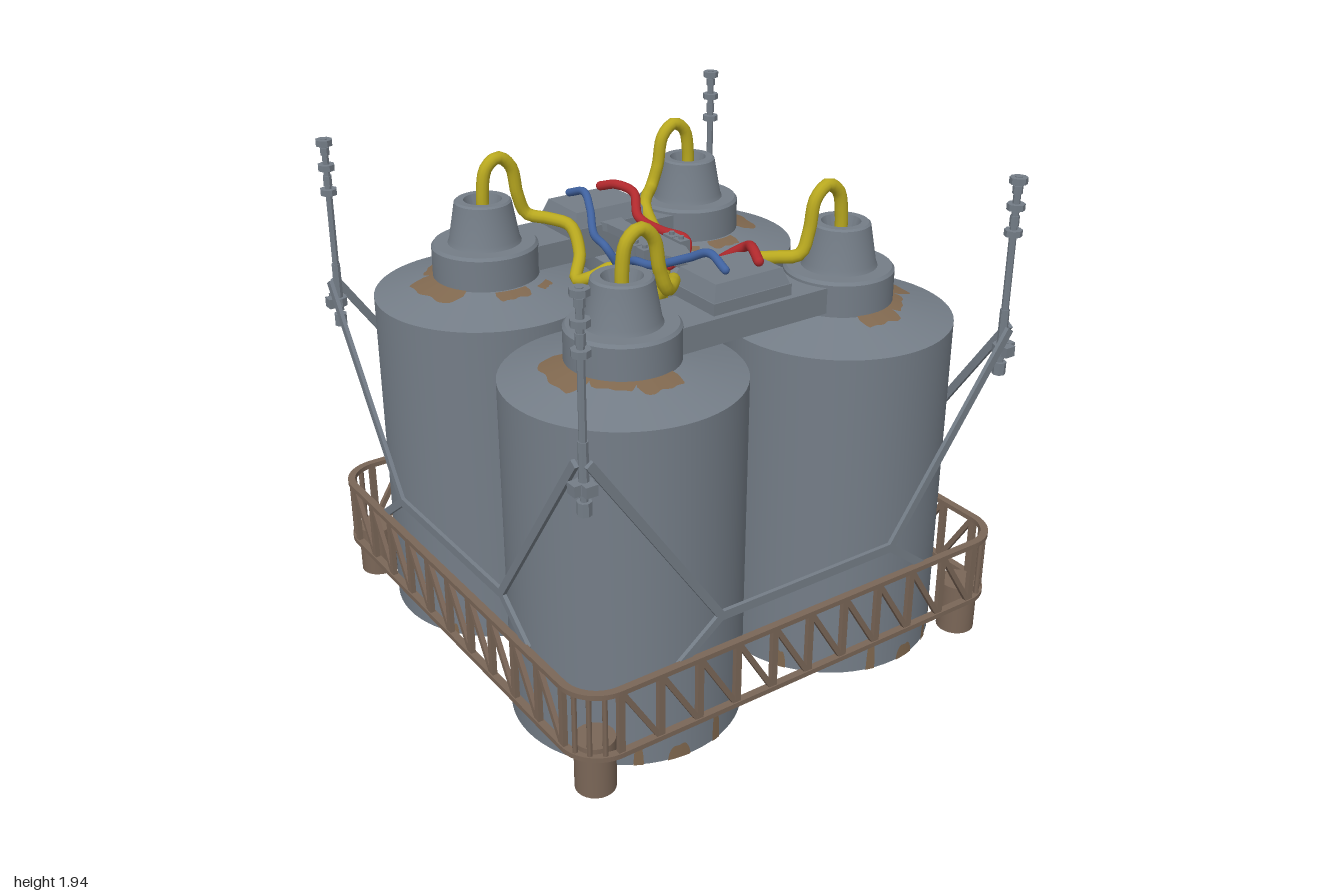
import * as THREE from 'three';
import { toCreasedNormals } from 'three/addons/utils/BufferGeometryUtils.js';

const material = (name, color, side = THREE.FrontSide) =>
  Object.assign(new THREE.MeshStandardMaterial({ color, side }), { name });
const steel = material('steel grey', 0x747d87, THREE.DoubleSide);
const brown = material('weathered brown', 0x7a6657, THREE.DoubleSide);
const rust = material('rust', 0x80684f, THREE.DoubleSide);
const yellow = material('yellow hose', 0xb8a81f);
const blue = material('blue cable', 0x40629f);
const red = material('red cable', 0xb0292d);
const V = (x, y, z) => new THREE.Vector3(x, y, z);

function add(parent, name, geometry, mat, x = 0, y = 0, z = 0) {
  const mesh = new THREE.Mesh(geometry, mat);
  mesh.name = name;
  mesh.position.set(x, y, z);
  parent.add(mesh);
  return mesh;
}

function group(parent, name) {
  const g = new THREE.Group();
  g.name = name;
  parent.add(g);
  return g;
}

// Flat bar between two points of an upright plane
function bar(parent, name, mat, [x1, y1], [x2, y2], z, width, depth) {
  const length = Math.hypot(x2 - x1, y2 - y1);
  const mesh = add(parent, name, new THREE.BoxGeometry(length, width, depth), mat,
    (x1 + x2) / 2, (y1 + y2) / 2, z);
  mesh.rotation.z = Math.atan2(y2 - y1, x2 - x1);
}

// Hose through points, with rounded ends
function hose(parent, name, mat, points, radius) {
  const path = new THREE.CatmullRomCurve3(points);
  add(parent, name, new THREE.TubeGeometry(path, 110, radius, 12), mat);
  for (const p of [points[0], points[points.length - 1]])
    add(parent, name + 'End', new THREE.SphereGeometry(radius, 12, 8), mat, p.x, p.y, p.z);
}

// Rust strip around a tank; edge(t) gives [radius, y] of the lower and upper border
function rustPatch(parent, sx, sz, from, to, edge, steps = 16) {
  const pos = [], idx = [];
  for (let i = 0; i <= steps; i++) {
    const a = THREE.MathUtils.degToRad(from + (to - from) * i / steps);
    for (const [r, y] of edge(i / steps)) pos.push(sx * r * Math.sin(a), y, sz * r * Math.cos(a));
    const k = i * 2;
    if (i < steps) idx.push(...(sx * sz > 0 ? [k, k + 2, k + 1, k + 1, k + 2, k + 3]
      : [k, k + 1, k + 2, k + 1, k + 3, k + 2]));
  }
  const g = new THREE.BufferGeometry();
  g.setAttribute('position', new THREE.Float32BufferAttribute(pos, 3));
  g.setIndex(idx);
  g.computeVertexNormals();
  add(parent, 'rustPatch', g, rust);
}

const onDome = r => [r, 1.43 - (r - 0.21) * 0.28];

function buildTank(parent, geometry, sx, sz) {
  const tank = group(parent, 'tank');
  tank.position.set(sx * 0.49, 0, sz * 0.49);
  add(tank, 'tankBody', geometry, steel);
  // Rust around the collar: [from, to, inner radius, outer radius at start, at end]
  for (const [from, to, r0, r1, r2] of [[-20, 22, 0.205, 0.28, 0.29], [22, 64, 0.205, 0.26, 0.25],
    [64, 130, 0.205, 0.31, 0.3], [160, 194, 0.22, 0.28, 0.28], [204, 222, 0.245, 0.28, 0.28]])
    rustPatch(tank, sx, sz, from, to, t => {
      const wave = 0.9 + 0.1 * Math.sin(t * 14) * Math.cos(t * 5);
      const fade = Math.min(1, 0.45 + 5 * t, 0.45 + 5 * (1 - t));
      return [onDome(r0 + (r1 + (r2 - r1) * t - r0) * wave * fade), onDome(r0)];
    }, 32);
  // Rust streaks rising from the foot: [angle, width in degrees, height]
  for (const [a, w, h] of [[52, 7, 0.07], [28, 5, 0.1], [8, 12, 0.07], [-14, 5, 0.17], [-61, 6, 0.09],
    [125, 5, 0.06], [205, 6, 0.13], [250, 8, 0.08]])
    rustPatch(tank, sx, sz, a - w / 2, a + w / 2, t =>
      [[0.4485, 0], [0.4485, h * Math.sqrt(Math.sin(Math.PI * t) + 1e-6) * (0.9 + 0.1 * Math.sin(t * 9))]]);
}

// Box narrowed towards the top
function taperedBox(w, h, d, inset) {
  const g = new THREE.BoxGeometry(w, h, d), p = g.attributes.position;
  for (let i = 0; i < p.count; i++)
    if (p.getY(i) > 0) p.setXYZ(i, p.getX(i) - Math.sign(p.getX(i)) * inset, p.getY(i),
      p.getZ(i) - Math.sign(p.getZ(i)) * inset);
  g.computeVertexNormals();
  return g;
}

function roundedSquare(half, r, Type) {
  const s = new Type(), c = half - r;
  s.absarc(c, c, r, 0, Math.PI / 2);
  s.absarc(-c, c, r, Math.PI / 2, Math.PI);
  s.absarc(-c, -c, r, Math.PI, Math.PI * 1.5);
  s.absarc(c, -c, r, Math.PI * 1.5, Math.PI * 2);
  s.closePath();
  return s;
}

export function createModel() {
  const model = new THREE.Group();
  model.name = 'tankCluster';

  // Four tanks, open below, with collar and hollow nozzle
  const profile = [[0.445, 0], [0.445, 1.36], [0.21, 1.426], [0.21, 1.55], [0.2, 1.562],
    [0.145, 1.562], [0.138, 1.58], [0.112, 1.725], [0.104, 1.732], [0.075, 1.732], [0.06, 1.68], [0, 1.66]];
  const tankGeometry = toCreasedNormals(new THREE.LatheGeometry(
    profile.map(p => new THREE.Vector2(...p)), 64), 0.5);
  for (const sx of [-1, 1]) for (const sz of [-1, 1]) {
    buildTank(model, tankGeometry, sx, sz);
    // Yellow hose from the nozzle to the centre and down
    hose(model, 'yellowHose', yellow, [[0.49, 1.66, 0.49], [0.49, 1.75, 0.49], [0.47, 1.85, 0.49],
      [0.415, 1.885, 0.49], [0.36, 1.84, 0.49], [0.335, 1.72, 0.49], [0.3, 1.637, 0.485],
      [0.23, 1.62, 0.42], [0.18, 1.6, 0.35], [0.19, 1.51, 0.27], [0.25, 1.435, 0.2], [0.215, 1.46, 0.14],
      [0.13, 1.49, 0.11], [0.07, 1.41, 0.07], [0.058, 1.2, 0.06], [0.056, 0.6, 0.056], [0.056, 0.03, 0.056]]
      .map(([x, y, z]) => V(sx * x, y, sz * z)), 0.025);
    // Clamp on the centre web
    add(model, 'clamp', new THREE.BoxGeometry(0.045, 0.06, 0.055), steel, sx * 0.085, 1.575, sz * 0.031);
    add(model, 'clampBolt', new THREE.CylinderGeometry(0.011, 0.011, 0.014, 8), steel, sx * 0.085, 1.61, sz * 0.031);
  }

  // Connecting beams, cover plates and signal cables
  for (const s of [-1, 1]) {
    add(model, 'beam', new THREE.BoxGeometry(0.66, 0.1, 0.26), steel, 0, 1.49, s * 0.49);
    add(model, 'coverBase', new THREE.BoxGeometry(0.35, 0.045, 0.27), steel, 0, 1.5625, s * 0.46);
    add(model, 'coverPlate', taperedBox(0.34, 0.06, 0.26, 0.022), steel, 0, 1.615, s * 0.46);
    hose(model, 'redCable', red, [[0.075, 1.67, 0.525], [0.105, 1.69, 0.45], [0.137, 1.67, 0.375],
      [0.098, 1.6, 0.28], [0.155, 1.555, 0.205], [0.225, 1.525, 0.135], [0.19, 1.485, 0.085], [0.095, 1.46, 0.066]]
      .map(([x, y, z]) => V(x, y, s * z)), 0.019);
    hose(model, 'blueCable', blue, [[-0.075, 1.67, 0.525], [-0.07, 1.7, 0.42], [-0.1, 1.66, 0.33],
      [-0.165, 1.605, 0.2], [-0.182, 1.59, 0.09], [-0.14, 1.5, 0.06], [-0.11, 1.38, 0.05],
      [-0.045, 1.25, 0.038], [-0.03, 1.1, 0.038]].map(([x, y, z]) => V(x, y, s * z)), 0.016);
  }

  // Waisted web joining the two beams
  const half = [[0.055, -0.35], [0.04, -0.3], [0.034, -0.17], [0.066, -0.09], [0.066, 0.09],
    [0.034, 0.17], [0.04, 0.3], [0.055, 0.35]];
  const outline = [...half, ...half.map(([x, z]) => [-x, z]).reverse()];
  const web = new THREE.ExtrudeGeometry(new THREE.Shape(outline.map(p => new THREE.Vector2(...p))),
    { depth: 0.035, bevelEnabled: false });
  add(model, 'centreWeb', web.rotateX(Math.PI / 2), steel, 0, 1.595, 0);

  // Railing hoops
  const hoop = roundedSquare(1, 0.16, THREE.Shape);
  hoop.holes.push(roundedSquare(0.97, 0.13, THREE.Path));
  const hoopGeometry = new THREE.ExtrudeGeometry(hoop, { depth: 0.02, bevelEnabled: false, curveSegments: 10 });
  hoopGeometry.rotateX(Math.PI / 2);
  for (const y of [0.195, 0.46]) add(model, 'railHoop', hoopGeometry, brown, 0, y, 0);

  // The same side, corner foot and mast repeated four times around
  for (let k = 0; k < 4; k++) {
    const side = group(model, 'side');
    side.rotation.y = k * Math.PI / 2;

    // Railing lattice
    for (let i = 0; i <= 10; i++) {
      const x = -0.84 + i * 0.168;
      bar(side, 'railPost', brown, [x, 0.18], [x, 0.45], 0.985, 0.026, 0.02);
      if (i < 10) bar(side, 'railDiagonal', brown, [x, 0.45], [x + 0.168, 0.18], 0.985, 0.021, 0.018);
    }
    for (const a of [0.4, 0.785, 1.17])
      add(side, 'cornerPost', new THREE.CylinderGeometry(0.011, 0.011, 0.27, 6), brown,
        0.84 + 0.145 * Math.sin(a), 0.315, 0.84 + 0.145 * Math.cos(a));

    // Truss struts, with a lug beside each mast
    bar(side, 'crossStrut', steel, [-0.4, 0.58], [0.4, 0.58], 0.967, 0.036, 0.016);
    for (const s of [-1, 1]) {
      bar(side, 'longStrut', steel, [s * 0.4, 0.58], [s * 0.935, 1.35], 0.967, 0.032, 0.016);
      bar(side, 'shortStrut', steel, [s * 0.4, 0.58], [s * 0.58, 0.44], 0.967, 0.032, 0.016);
      add(side, 'strutLug', new THREE.BoxGeometry(0.045, 0.04, 0.03), steel, s * 0.935, 1.26, 0.97);
    }

    // Corner foot, open below
    add(side, 'foot', new THREE.CylinderGeometry(0.076, 0.076, 0.215, 24, 1, true), brown, 0.885, 0.1075, 0.885);
    add(side, 'footTop', new THREE.CircleGeometry(0.076, 24).rotateX(-Math.PI / 2), brown, 0.885, 0.215, 0.885);

    // Mast with stacked fittings: [radius, height, y]
    const mast = group(side, 'mast');
    mast.position.set(0.935, 0, 0.935);
    for (const [r, h, y] of [[0.014, 0.76, 1.56], [0.034, 0.024, 1.925], [0.019, 0.03, 1.89],
      [0.034, 0.024, 1.825], [0.018, 0.04, 1.77], [0.034, 0.024, 1.725], [0.018, 0.2, 1.32],
      [0.034, 0.035, 1.26], [0.026, 0.05, 1.18]])
      add(mast, 'mastPart', toCreasedNormals(new THREE.CylinderGeometry(r, r, h, 8), 0.5), steel, 0, y, 0);
  }
  return model;
}
